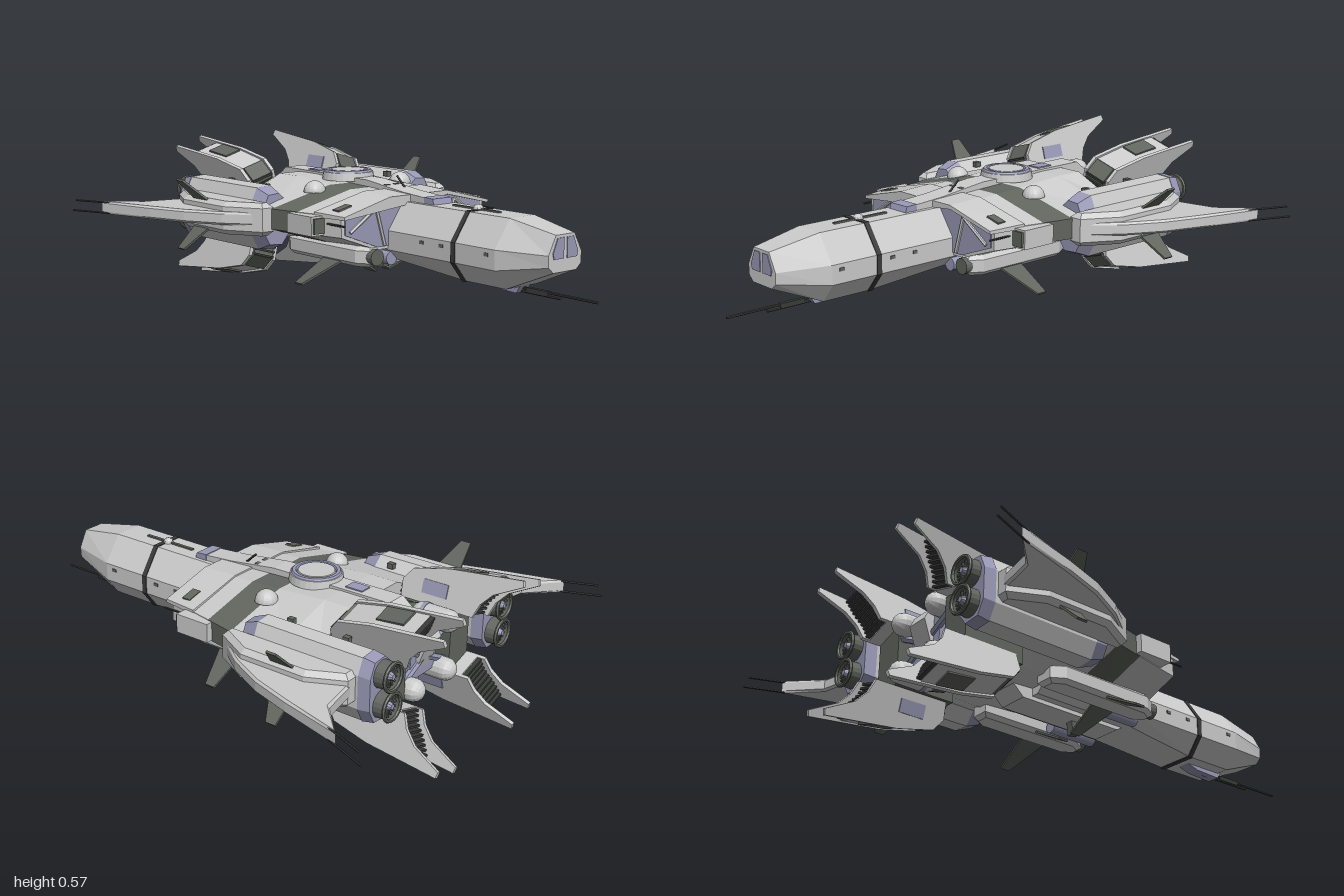
import * as THREE from 'three';

const mat = (color) => new THREE.MeshStandardMaterial({ color, flatShading: true, side: THREE.DoubleSide });
const hull = mat(0xcccccc), dark = mat(0x62665f), blue = mat(0x9a9ab8), black = mat(0x3a3c3a);

function add(parent, name, geo, material, x = 0, y = 0, z = 0) {
  const m = new THREE.Mesh(geo, material);
  m.name = name;
  m.position.set(x, y, z);
  parent.add(m);
  return m;
}
const box = (p, name, m, w, h, d, x, y, z) => add(p, name, new THREE.BoxGeometry(w, h, d), m, x, y, z);

// Skin over rings ordered front to back, each counter-clockwise seen from +z
function loft(rings) {
  const v = [], n = rings[0].length;
  const tri = (...p) => p.forEach((q) => v.push(...q));
  for (let i = 0; i < rings.length - 1; i++) for (let j = 0; j < n; j++) {
    const k = (j + 1) % n, [r, s] = [rings[i], rings[i + 1]];
    tri(r[j], s[j], r[k]);
    tri(r[k], s[j], s[k]);
  }
  const f = rings[0], b = rings[rings.length - 1];
  for (let j = 1; j < n - 1; j++) { tri(f[0], f[j], f[j + 1]); tri(b[0], b[j + 1], b[j]); }
  const g = new THREE.BufferGeometry();
  g.setAttribute('position', new THREE.Float32BufferAttribute(v, 3));
  g.computeVertexNormals();
  return g;
}
// Symmetric ring from its right half, listed top to bottom
const ring = (z, half) => [...half.slice().reverse().map(([x, y]) => [x, y, z]), ...half.map(([x, y]) => [-x, y, z])];

// Plan outline [x, z] between two heights
function plan(pts, y0, y1, bevel = 0) {
  const g = new THREE.ExtrudeGeometry(new THREE.Shape(pts.map((p) => new THREE.Vector2(...p))), {
    depth: y1 - y0 - 2 * bevel, bevelEnabled: bevel > 0, bevelSize: bevel, bevelOffset: -bevel, bevelThickness: bevel, bevelSegments: 1 });
  return g.rotateX(Math.PI / 2).translate(0, y1 - bevel, 0);
}
// Side outline [z, y] of given width centred on x
function side(pts, width) {
  const g = new THREE.ExtrudeGeometry(new THREE.Shape(pts.map((p) => new THREE.Vector2(...p))), { depth: width, bevelEnabled: false });
  return g.rotateY(-Math.PI / 2).translate(width / 2, 0, 0);
}
function rod(p, name, a, b, r, m = black) {
  const A = new THREE.Vector3(...a), B = new THREE.Vector3(...b), d = B.clone().sub(A);
  const o = add(p, name, new THREE.CylinderGeometry(r, r, d.length(), 6), m);
  o.position.copy(A).addScaledVector(d, 0.5);
  o.quaternion.setFromUnitVectors(new THREE.Vector3(0, 1, 0), d.normalize());
}
const zCyl = (r0, r1, len, n = 16) => new THREE.CylinderGeometry(r0, r1, len, n).rotateX(Math.PI / 2);

function nose(g) {
  const full = [[0.06, 0.4], [0.13, 0.3], [0.13, 0.23], [0.075, 0.16]];
  const rear = [[0.06, 0.4], [0.13, 0.3], [0.13, 0.23], [0.09, 0.19]];
  const tip = [[0.045, 0.365], [0.08, 0.3], [0.078, 0.26], [0.055, 0.24]];
  add(g, 'noseFuselage', loft([ring(0.855, tip), ring(0.66, full), ring(0.46, full), ring(0.13, rear), ring(-0.3, rear)]), hull);
  const grow = full.map(([x, y]) => [x * 1.025, 0.28 + (y - 0.28) * 1.025]);
  add(g, 'noseBand', loft([ring(0.47, grow), ring(0.45, grow)]), black);
  // Cockpit glass: front pair and slanted side panes
  for (const s of [1, -1]) {
    add(g, 'frontWindow', loft([[[0.008, 0.285], [0.055, 0.285], [0.06, 0.305], [0.038, 0.355], [0.008, 0.355]]
      .map(([x, y]) => [s * x, y, 0.858]), [[0.008, 0.285], [0.055, 0.285], [0.06, 0.305], [0.038, 0.355], [0.008, 0.355]].map(([x, y]) => [s * x, y, 0.85])]), blue);
    for (const z of [0.62, 0.4, 0.3]) box(g, 'noseVent', dark, 0.006, 0.012, 0.02, s * 0.13, 0.28, z);
  }
  box(g, 'noseRidge', dark, 0.012, 0.008, 0.23, 0, 0.402, 0.44);
  add(g, 'noseSensor', new THREE.SphereGeometry(0.02, 10, 6), hull, 0, 0.4, 0.45);
  // Chin gun
  add(g, 'chinMount', side([[0.68, 0.17], [0.66, 0.14], [0.55, 0.145], [0.48, 0.165], [0.48, 0.18], [0.68, 0.18]], 0.05), blue);
  rod(g, 'longBarrel', [0, 0.158, 0.6], [0, 0.158, 1], 0.005);
  rod(g, 'shortBarrel', [0, 0.147, 0.6], [0, 0.147, 0.84], 0.006);
  box(g, 'muzzleSleeve', black, 0.016, 0.016, 0.1, 0, 0.155, 0.74);
}

function body(g) {
  // [z, halfWidth, top, bottom]
  const at = ([z, w, t, b]) => ring(z, [[0.14, t], [w, 0.37], [w, 0.295], [0.18, b]]);
  const s = [[0.12, 0.345, 0.42, 0.235], [-0.08, 0.385, 0.43, 0.225], [-0.2, 0.41, 0.435, 0.225], [-0.4, 0.4, 0.45, 0.215], [-0.51, 0.32, 0.45, 0.22]];
  add(g, 'bodyFront', loft([at(s[0]), at(s[1])]), hull);
  add(g, 'bodyBand', loft([at(s[1]), at(s[2])]), dark);
  add(g, 'bodyRear', loft(s.slice(2).map(at)), hull);
  // Blue front bulkhead under an overhanging lip
  const inset = [[0.13, 0.412], [0.33, 0.362], [0.33, 0.303], [0.18, 0.245]];
  add(g, 'bulkhead', loft([ring(0.124, inset), ring(0.1, inset)]), blue);
  add(g, 'frontLip', loft([ring(0.145, [[0.14, 0.425], [0.35, 0.372], [0.35, 0.36], [0.14, 0.41]]), ring(0.0, [[0.14, 0.432], [0.372, 0.378], [0.372, 0.36], [0.14, 0.41]])]), hull);
  for (const sx of [1, -1]) {
    rod(g, 'bulkheadBrace', [sx * 0.15, 0.25, 0.127], [sx * 0.19, 0.39, 0.127], 0.007, hull);
    rod(g, 'bulkheadBrace', [sx * 0.19, 0.39, 0.127], [sx * 0.31, 0.31, 0.127], 0.007, hull);
  }
  // Dorsal spine and turret ring
  add(g, 'spine', side([[0.27, 0.395], [0.26, 0.418], [0.1, 0.43], [-0.1, 0.455], [-0.6, 0.46], [-0.65, 0.42], [-0.65, 0.38], [0.2, 0.38]], 0.085), hull);
  add(g, 'spineTip', side([[0.275, 0.39], [0.265, 0.421], [0.22, 0.424], [0.22, 0.39]], 0.09), blue);
  box(g, 'spinePanel', blue, 0.05, 0.008, 0.07, 0, 0.459, -0.44);
  for (const x of [-0.022, 0.022]) box(g, 'spineHatch', dark, 0.022, 0.01, 0.035, x, 0.44, -0.02);
  rod(g, 'spineAntenna', [0.02, 0.42, 0.06], [0.02, 0.475, 0.0], 0.004);
  add(g, 'turretBase', new THREE.CylinderGeometry(0.095, 0.1, 0.03, 28), hull, 0, 0.457, -0.26);
  add(g, 'turretRing', new THREE.TorusGeometry(0.08, 0.012, 6, 28).rotateX(Math.PI / 2), blue, 0, 0.469, -0.26);
  add(g, 'turretLid', new THREE.CylinderGeometry(0.066, 0.07, 0.012, 24), hull, 0, 0.473, -0.26);
  // Rear core, cross braces and tail
  box(g, 'rearCore', blue, 0.16, 0.18, 0.24, 0, 0.3, -0.6);
  add(g, 'tailBlock', side([[-0.5, 0.2], [-0.5, 0.41], [-0.74, 0.39], [-0.76, 0.35], [-0.72, 0.24]], 0.09), hull);
  for (const sx of [1, -1]) rod(g, 'crossBrace', [sx * 0.17, 0.2, -0.72], [-sx * 0.17, 0.37, -0.72], 0.014, blue);
  // Belly keel and sensor
  add(g, 'keel', side([[0.14, 0.2], [0.1, 0.175], [-0.34, 0.175], [-0.4, 0.23], [0.14, 0.24]], 0.12), hull);
  add(g, 'bellySensor', side([[-0.03, 0.18], [-0.04, 0.13], [-0.075, 0.125], [-0.08, 0.18]], 0.03), dark);
}

// Everything that exists once on each side, built for +x
function flank(g) {
  add(g, 'dome', new THREE.SphereGeometry(0.042, 16, 8, 0, Math.PI * 2, 0, Math.PI / 2), hull, 0.21, 0.415, -0.2);
  box(g, 'shoulderBlock', hull, 0.06, 0.07, 0.14, 0.385, 0.333, -0.03);
  box(g, 'shoulderFace', dark, 0.045, 0.055, 0.012, 0.385, 0.333, 0.043);
  rod(g, 'shoulderPin', [0.355, 0.34, 0.03], [0.355, 0.34, 0.15], 0.004);
  box(g, 'lipMarker', dark, 0.06, 0.006, 0.035, 0.3, 0.392, 0.07).rotation.z = -0.24;

  // Engine nacelle with twin nozzles
  const oct = [[0.32, 0.2], [0.39, 0.205], [0.42, 0.26], [0.42, 0.38], [0.395, 0.435], [0.335, 0.44], [0.28, 0.39], [0.28, 0.25]];
  const sec = (z, k) => oct.map(([x, y]) => [0.35 + (x - 0.35) * k, 0.32 + (y - 0.32) * k, z]);
  add(g, 'nacelleNose', loft([sec(-0.25, 0.8), sec(-0.31, 1)]), blue);
  add(g, 'nacelle', loft([sec(-0.31, 1), sec(-0.74, 1)]), hull);
  add(g, 'nacelleCollar', loft([sec(-0.74, 1.02), sec(-0.785, 0.95)]), blue);
  for (const z of [-0.38, -0.61]) box(g, 'nacelleClip', dark, 0.02, 0.02, 0.025, 0.3, 0.425, z);
  for (const y of [0.268, 0.376]) {
    add(g, 'nozzle', new THREE.CylinderGeometry(0.052, 0.046, 0.07, 18, 1, true).rotateX(Math.PI / 2), dark, 0.35, y, -0.795);
    add(g, 'nozzleRim', new THREE.TorusGeometry(0.049, 0.007, 6, 18), dark, 0.35, y, -0.828);
    add(g, 'nozzlePlate', zCyl(0.046, 0.046, 0.01), black, 0.35, y, -0.8);
    add(g, 'nozzleHub', zCyl(0.022, 0.01, 0.03, 10), blue, 0.35, y, -0.815);
    for (let i = 0; i < 8; i++) box(g, 'nozzleVane', dark, 0.006, 0.085, 0.012, 0.35, y, -0.81).rotation.z = i * Math.PI / 8;
  }

  // Wing root pod, thin wing and tip probes
  add(g, 'wingPod', plan([[0.4, -0.2], [0.45, -0.2], [0.525, -0.34], [0.525, -0.6], [0.46, -0.73], [0.4, -0.73]], 0.27, 0.392, 0.018), hull);
  add(g, 'wing', plan([[0.45, -0.21], [0.54, -0.33], [0.61, -0.47], [0.66, -0.63], [0.72, -0.87], [0.6, -0.76], [0.45, -0.73]], 0.308, 0.357, 0.008), hull);
  rod(g, 'upperProbe', [0.7, 0.352, -0.82], [0.765, 0.352, -0.985], 0.004);
  rod(g, 'lowerProbe', [0.705, 0.312, -0.83], [0.77, 0.312, -1], 0.004);
  // Thin fins: [x, y, z, angle, length]
  for (const [x, y, z, a, len] of [[0.5, 0.375, -0.5, 0.75, 0.125], [0.5, 0.287, -0.5, -0.75, 0.125],
    [0.24, 0.182, -0.06, -0.48, 0.16], [0.16, 0.182, -0.06, Math.PI + 0.48, 0.145]]) {
    const f = add(g, 'fin', plan([[0, 0.05], [len, 0.0], [len, -0.04], [0, -0.05]], -0.004, 0.004), dark, x, y, z);
    f.rotation.z = a;
  }
  // Belly pod and tanks
  add(g, 'bellyPod', plan([[0.15, 0.08], [0.18, 0.13], [0.22, 0.13], [0.25, 0.08], [0.25, -0.3], [0.22, -0.35], [0.15, -0.35]], 0.175, 0.25, 0.015), hull);
  add(g, 'bellyIntake', zCyl(0.03, 0.03, 0.03), dark, 0.2, 0.212, 0.13);
  add(g, 'bellyTube', zCyl(0.025, 0.025, 0.2), blue, 0.12, 0.2, 0.03);
  for (const y of [0.2, 0.385]) {
    add(g, 'tank', new THREE.CapsuleGeometry(0.042, 0.1, 5, 14).rotateX(Math.PI / 2), hull, 0.1, y, -0.7);
    add(g, 'tankBand', zCyl(0.044, 0.044, 0.015), blue, 0.1, y, -0.66);
    add(g, 'tankNeck', zCyl(0.02, 0.035, 0.07, 12), dark, 0.1, y, -0.6);
  }
  box(g, 'tailRoot', dark, 0.12, 0.22, 0.24, 0.2, 0.285, -0.62);
}

// Upper tail thruster, leaning outward
function tailThruster(g) {
  const t = new THREE.Group();
  t.name = 'tailThruster';
  t.position.set(0.2, 0.385, 0);
  t.rotation.z = -0.29;
  g.add(t);
  const plate = side([[-0.53, 0], [-0.525, 0.065], [-0.56, 0.11], [-0.7, 0.142], [-0.98, 0.172], [-0.985, 0.15], [-0.88, 0.095], [-0.84, 0.05], [-0.82, 0]], 0.014);
  for (const x of [-0.058, 0.058]) add(t, 'thrusterPlate', plate, hull, x);
  add(t, 'thrusterCore', side([[-0.535, 0], [-0.53, 0.06], [-0.565, 0.103], [-0.7, 0.135], [-0.86, 0.153], [-0.83, 0.09], [-0.8, 0.05], [-0.79, 0]], 0.11), hull);
  const back = new THREE.CatmullRomCurve3([[0.008, -0.795], [0.05, -0.807], [0.09, -0.835], [0.145, -0.862]].map(([y, z]) => new THREE.Vector3(0, y, z)));
  for (let i = 0; i <= 9; i++) {
    const p = back.getPointAt(i / 9);
    box(t, 'grilleSlat', black, 0.104, 0.008, 0.025, 0, p.y, p.z);
  }
  add(t, 'frontGrille', side([[-0.53, 0.005], [-0.52, 0.06], [-0.56, 0.108], [-0.58, 0.1], [-0.58, 0.005]], 0.09), dark);
  for (let i = 0; i < 3; i++) box(t, 'frontRib', black, 0.094, 0.008, 0.02, 0, 0.015 + i * 0.02, -0.525);
  box(t, 'topPanel', dark, 0.07, 0.008, 0.11, -0.01, 0.143, -0.75).rotation.x = 0.13;
  box(t, 'sidePanel', blue, 0.006, 0.05, 0.1, -0.066, 0.06, -0.66);
}

export function createModel() {
  const root = new THREE.Group();
  root.name = 'starfighter';
  nose(root);
  body(root);
  for (const sx of [1, -1]) {
    const f = new THREE.Group();
    f.name = sx > 0 ? 'leftFlank' : 'rightFlank';
    f.scale.x = sx;
    flank(f);
    root.add(f);
    for (const sy of [1, -1]) {
      const q = new THREE.Group();
      q.name = sy > 0 ? 'upperTail' : 'lowerTail';
      q.scale.y = sy;
      q.position.y = sy > 0 ? 0 : 0.57;
      tailThruster(q);
      f.add(q);
    }
  }
  return root;
}
